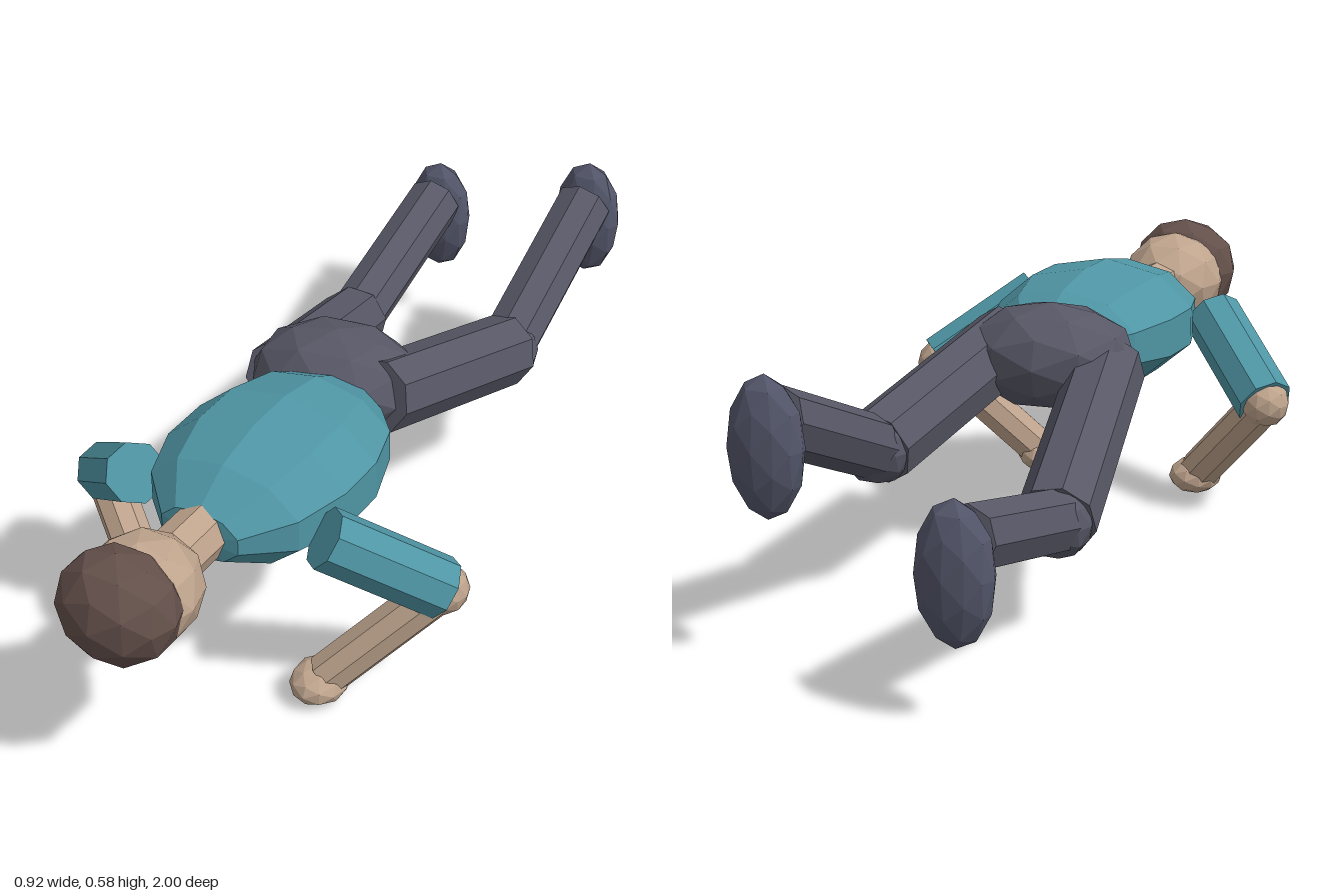
import * as THREE from 'three';

const paint = (name, color) => {
  const m = new THREE.MeshStandardMaterial({ color, flatShading: true });
  m.name = name;
  return m;
};

export function createModel() {
  const model = new THREE.Group();
  model.name = 'lyingFigure';
  const skin = paint('skin', 0xbfa48d);
  const shirt = paint('tealShirt', 0x4f95a4);
  const trousers = paint('greyTrousers', 0x575766);
  const shoes = paint('greyShoes', 0x53566a);
  const hairBrown = paint('brownHair', 0x64504b);
  const dark = paint('darkEyes', 0x33282a);

  const add = (name, geometry, material) => {
    const mesh = new THREE.Mesh(geometry, material);
    mesh.name = name;
    model.add(mesh);
    return mesh;
  };
  // Faceted ellipsoid
  const blob = (name, material, pos, radii, detail = 1) => {
    const mesh = add(name, new THREE.IcosahedronGeometry(1, detail), material);
    mesh.position.set(...pos);
    mesh.scale.set(...radii);
    return mesh;
  };
  // Eight-sided limb between two points
  const limb = (name, material, from, to, r) => {
    const a = new THREE.Vector3(...from), b = new THREE.Vector3(...to);
    const dir = b.clone().sub(a);
    const mesh = add(name, new THREE.CylinderGeometry(r, r, dir.length(), 8), material);
    mesh.position.copy(a).add(b).multiplyScalar(0.5);
    mesh.quaternion.setFromUnitVectors(new THREE.Vector3(0, 1, 0), dir.normalize());
    return mesh;
  };

  // Torso, lying along z
  const profile = [[0, 0.08], [0.52, 0.09], [0.83, 0.17], [1, 0.29], [1, 0.41], [0.82, 0.53], [0.42, 0.62], [0, 0.63]];
  const torsoShape = new THREE.LatheGeometry(profile.map(([r, z]) => new THREE.Vector2(r, z)), 10);
  torsoShape.rotateX(Math.PI / 2).scale(0.22, 0.136, 1);
  add('torso', torsoShape, shirt).position.y = 0.42;

  // Hips, turned a little
  blob('hips', trousers, [-0.045, 0.43, 0.01], [0.19, 0.117, 0.145]).rotation.y = 0.15;

  // Neck and head, face down
  limb('neck', skin, [0, 0.424, 0.55], [0, 0.424, 0.76], 0.06);
  blob('head', skin, [0, 0.422, 0.825], [0.12, 0.113, 0.135]);
  blob('hair', hairBrown, [0, 0.435, 0.895], [0.128, 0.121, 0.105]);

  for (const [side, s] of [['left', 1], ['right', -1]]) {
    blob(side + 'Eye', dark, [s * 0.044, 0.326, 0.845], [0.013, 0.012, 0.013]);
    // Arms
    const shoulder = [s * 0.22, 0.425, 0.515], elbow = [s * 0.405, 0.275, 0.368], wrist = [s * 0.205, 0.055, 0.487];
    limb(side + 'UpperArm', shirt, shoulder, elbow, 0.065);
    blob(side + 'Elbow', skin, elbow, [0.055, 0.055, 0.055]);
    limb(side + 'Forearm', skin, elbow, wrist, 0.047);
    blob(side + 'Hand', skin, [s * 0.195, 0.043, 0.495], [0.061, 0.042, 0.07]);
  }

  // Legs, each bent its own way
  const legs = [
    ['left', [0.075, 0.44, 0.05], [0.143, 0.318, -0.42], [0.135, 0.49, -0.83], [0.133, 0.443, -0.86]],
    ['right', [-0.165, 0.41, 0.04], [-0.28, 0.238, -0.47], [-0.3, 0.343, -0.91], [-0.302, 0.29, -0.945]],
  ];
  for (const [side, hip, knee, ankle, foot] of legs) {
    limb(side + 'Thigh', trousers, hip, knee, 0.082);
    blob(side + 'Knee', trousers, knee, [0.076, 0.076, 0.076]);
    limb(side + 'Shin', trousers, knee, ankle, 0.066);
    blob(side + 'Shoe', shoes, foot, [0.08, 0.142, 0.055]);
  }
  return model;
}
